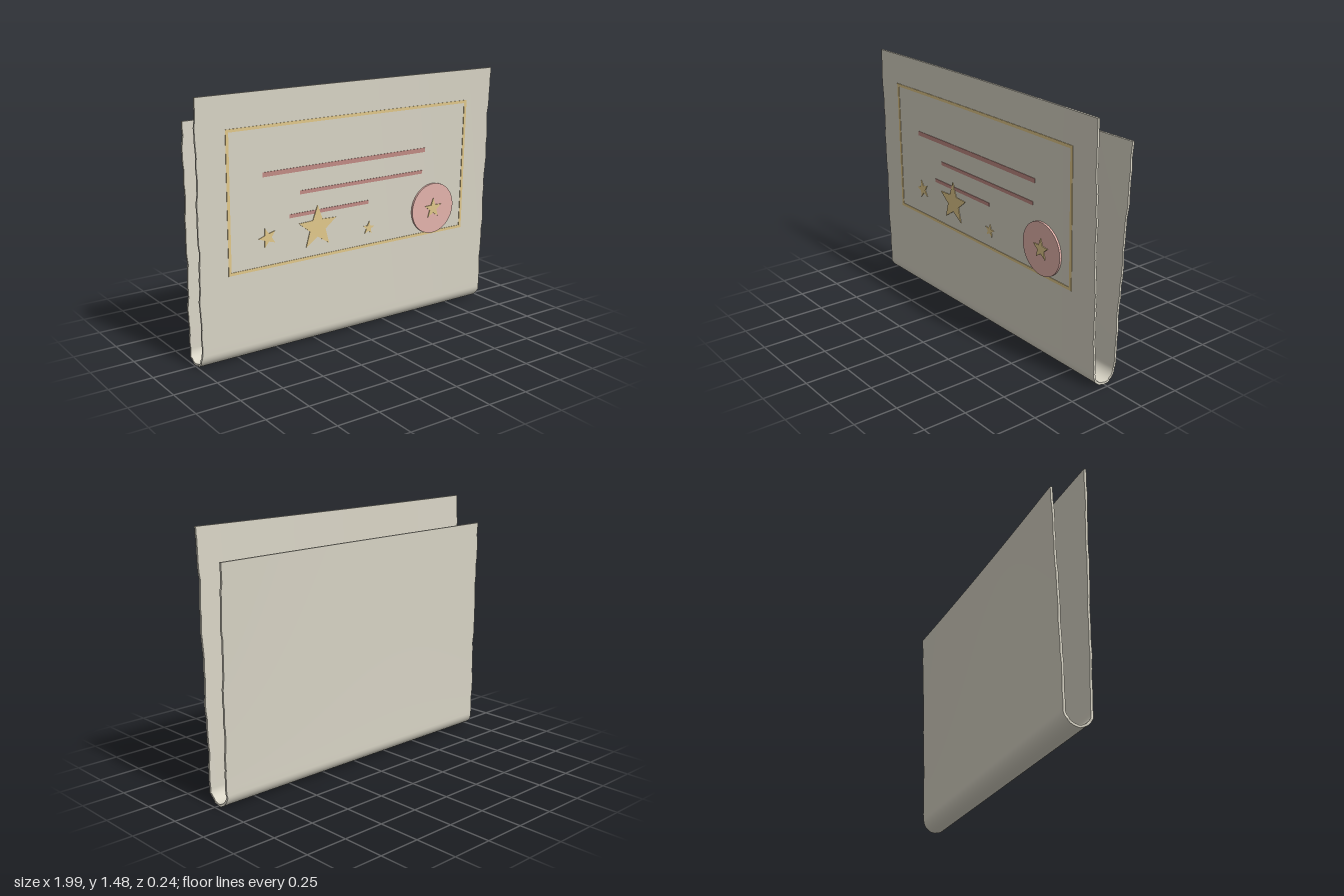
import * as THREE from 'three';

const T = 0.013;        // sheet thickness
const R = 0.073;        // fold radius
const CY = 0.08;        // height of fold centre
const FRONT_TOP = 1.485, BACK_TOP = 1.333;
const ROWS = { front: 36, fold: 20, back: 34 };

// Depth of each leaf's middle surface; both lean out and flare to the sides
function frontZ(x, y) {
  const t = Math.max(0, (y - CY) / (FRONT_TOP - CY));
  return R + (0.017 + 0.014 * x * x + 0.01 * x) * t;
}
function backZ(x, y) {
  const t = Math.max(0, (y - CY) / (BACK_TOP - CY));
  return -R - (0.024 + 0.009 * x * x + 0.007 * x) * Math.pow(t, 1.3);
}

// Uneven side edges
const wobble = (s, p) =>
  0.003 * Math.sin(s * 17 + p) + 0.002 * Math.sin(s * 41 + p * 2.3) + 0.0015 * Math.sin(s * 73 + p);

// One box bent into a U: front leaf, fold, back leaf
function foldedSheet() {
  const rows = ROWS.front + ROWS.fold + ROWS.back;
  const geo = new THREE.BoxGeometry(2, 1, 1, 32, rows, 1);
  const pos = geo.attributes.position;
  for (let i = 0; i < pos.count; i++) {
    const u = pos.getX(i);
    const row = Math.round((0.5 - pos.getY(i)) * rows);
    const off = pos.getZ(i) * T;
    const s = row / rows * 2.9;
    const edge = Math.pow(Math.abs(u), 12);
    let x = -0.011 + u * 0.984 + edge * wobble(s, u > 0 ? 0.6 : 2.1);
    let y, z;
    if (row <= ROWS.front) {
      y = THREE.MathUtils.lerp(FRONT_TOP, CY, row / ROWS.front);
      z = frontZ(x, y) + off;
    } else if (row <= ROWS.front + ROWS.fold) {
      const a = (row - ROWS.front) / ROWS.fold * Math.PI;
      y = CY - (R + off) * Math.sin(a);
      z = (R + off) * Math.cos(a);
    } else {
      const t = (row - ROWS.front - ROWS.fold) / ROWS.back;
      y = THREE.MathUtils.lerp(CY, BACK_TOP, t);
      z = backZ(x, y) - off;
      x += 0.021 * t;
    }
    pos.setXYZ(i, x, y, z);
  }
  geo.computeVertexNormals();
  return geo;
}

// Lay flat geometry onto the outside of the front leaf
function drape(geo, lift = 0) {
  const pos = geo.attributes.position;
  for (let i = 0; i < pos.count; i++) {
    pos.setZ(i, pos.getZ(i) + frontZ(pos.getX(i), pos.getY(i)) + T / 2 + lift);
  }
  geo.computeVertexNormals();
  return geo;
}

function bar(x0, x1, y0, y1) {
  const geo = new THREE.BoxGeometry(x1 - x0, y1 - y0, 0.004, 24, 8, 1);
  geo.translate((x0 + x1) / 2, (y0 + y1) / 2, 0.001);
  return drape(geo);
}

function star(cx, cy, r, turn, lift, depth = 0.004) {
  const pts = [];
  for (let i = 0; i < 10; i++) {
    const a = Math.PI / 2 + turn + i * Math.PI / 5;
    const q = i % 2 ? r * 0.42 : r;
    pts.push(new THREE.Vector2(cx + q * Math.cos(a), cy + q * Math.sin(a)));
  }
  const geo = new THREE.ExtrudeGeometry(new THREE.Shape(pts), { depth, bevelEnabled: false });
  return drape(geo, lift);
}

export function createModel() {
  const group = new THREE.Group();
  const mat = (name, color) => {
    const m = new THREE.MeshStandardMaterial({ color });
    m.name = name;
    return m;
  };
  const paper = mat('paper', 0xd9d5c6);
  const gold = mat('gold', 0xe2c98c);
  const red = mat('red ink', 0xc28c85);
  const pink = mat('seal pink', 0xe6b5ad);
  const add = (name, geo, material) => {
    const mesh = new THREE.Mesh(geo, material);
    mesh.name = name;
    group.add(mesh);
  };

  add('foldedSheet', foldedSheet(), paper);

  // Gold border
  const [x0, x1, y0, y1, w] = [-0.825, 0.796, 0.505, 1.303, 0.017];
  add('borderTop', bar(x0, x1, y1 - w, y1), gold);
  add('borderBottom', bar(x0, x1, y0, y0 + w), gold);
  add('borderLeft', bar(x0, x0 + w, y0 + w, y1 - w), gold);
  add('borderRight', bar(x1 - w, x1, y0 + w, y1 - w), gold);

  // Ruled lines
  [[-0.608, 0.495, 1.034, 0.026], [-0.373, 0.478, 0.902, 0.021], [-0.442, 0.09, 0.777, 0.021]]
    .forEach(([a, b, y, h], i) => add('ruledLine' + (i + 1), bar(a, b, y - h / 2, y + h / 2), red));

  // Loose stars
  add('largeStar', star(-0.26, 0.685, 0.13, 0, 0.002), gold);
  add('leftStar', star(-0.582, 0.68, 0.057, 0.3, 0), gold);
  add('rightStar', star(0.093, 0.62, 0.04, -0.1, 0), gold);

  // Round seal with its star
  const seal = new THREE.CylinderGeometry(0.154, 0.154, 0.016, 64);
  seal.rotateX(Math.PI / 2).translate(0.56, 0.667, 0.004);
  add('seal', drape(seal), pink);
  add('sealStar', star(0.56, 0.667, 0.063, 0, 0.011, 0.006), gold);

  return group;
}
